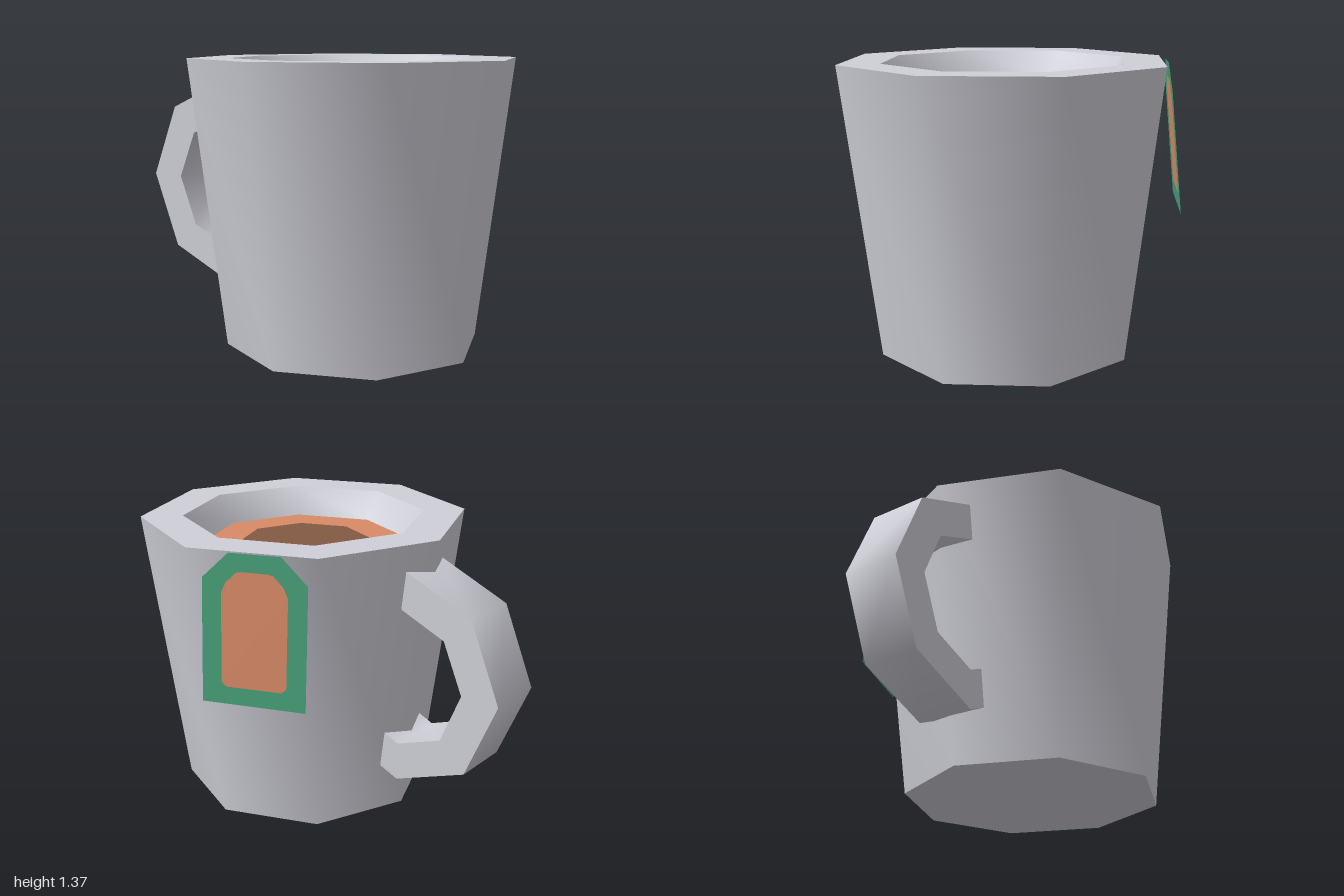
import * as THREE from 'three';
import { toCreasedNormals } from 'three/addons/utils/BufferGeometryUtils.js';

const mat = (name, color, side = THREE.FrontSide) => {
  const m = new THREE.MeshStandardMaterial({ color, side });
  m.name = name;
  return m;
};

const add = (parent, name, geometry, material) => {
  const mesh = new THREE.Mesh(geometry, material);
  mesh.name = name;
  parent.add(mesh);
  return mesh;
};

const toPoints = (list) => list.map(([x, y]) => new THREE.Vector2(x, y));

// Closed outline, symmetric about x = 0, from its right half listed bottom to top
const mirrored = (half) =>
  toPoints([...half, ...half.map(([x, y]) => [-x, y]).reverse()]);

export function createModel() {
  const ceramic = mat('ceramic grey', 0xcfcfd8);
  const orange = mat('tea orange', 0xd88a66, THREE.DoubleSide);
  const brown = mat('tea brown', 0x845a45);
  const green = mat('tag green', 0x46a078, THREE.DoubleSide);

  const model = new THREE.Group();
  model.name = 'teaMug';

  // Mug and everything centred on its axis
  const mug = new THREE.Group();
  mug.name = 'mug';
  mug.position.set(-0.025, 0, 0.21);
  model.add(mug);

  // Eight-sided cup wall with base, rim and sloping inside
  const profile = toPoints([[0, 0], [0.615, 0], [0.785, 1.37], [0.585, 1.37], [0.495, 1.235]]);
  add(mug, 'cup', toCreasedNormals(new THREE.LatheGeometry(profile, 8), 0.85), ceramic);

  // Tea surface: light outer ring and dark centre
  const level = 1.235;
  const ring = new THREE.RingGeometry(0.32, 0.495, 8).rotateX(-Math.PI / 2);
  add(mug, 'teaEdge', ring, orange).position.y = level;
  const centre = new THREE.CircleGeometry(0.32, 8).rotateX(-Math.PI / 2);
  add(mug, 'teaCentre', centre, brown).position.y = level;

  // Handle outline as (distance behind centre, height), extruded across x
  const handleShape = new THREE.Shape(toPoints([
    [0.5, 1.245], [0.845, 1.1], [1.0, 0.735], [0.845, 0.36], [0.475, 0.21], [0.373, 0.252],
    [0.4, 0.43], [0.475, 0.397], [0.71, 0.488], [0.812, 0.735], [0.71, 0.97], [0.475, 1.067],
  ]));
  const width = 0.285;
  const handleGeometry = new THREE.ExtrudeGeometry(handleShape, { depth: width, bevelEnabled: false })
    .translate(0, 0, -width / 2)
    .rotateY(Math.PI / 2);
  add(model, 'handle', toCreasedNormals(handleGeometry, 1.0), ceramic).position.x = -0.025;

  // Tea bag tag leaning against the rim, with a coloured panel seen on both faces
  const tag = new THREE.Group();
  tag.name = 'tag';
  tag.position.set(0.714, 0.697, -0.125);
  tag.rotation.order = 'YXZ';
  tag.rotation.set(-0.096, THREE.MathUtils.degToRad(112.5), 0);
  model.add(tag);

  const panel = mirrored([[0.13, 0.079], [0.15, 0.1], [0.152, 0.5], [0.132, 0.545], [0.085, 0.592], [0.06, 0.597]]);
  const border = new THREE.Shape(mirrored([[0.24, 0], [0.24, 0.56], [0.119, 0.676]]));
  border.holes.push(new THREE.Path(panel));
  add(tag, 'tagBorder', new THREE.ShapeGeometry(border), green);
  add(tag, 'tagPanel', new THREE.ShapeGeometry(new THREE.Shape(panel)), orange);

  return model;
}
